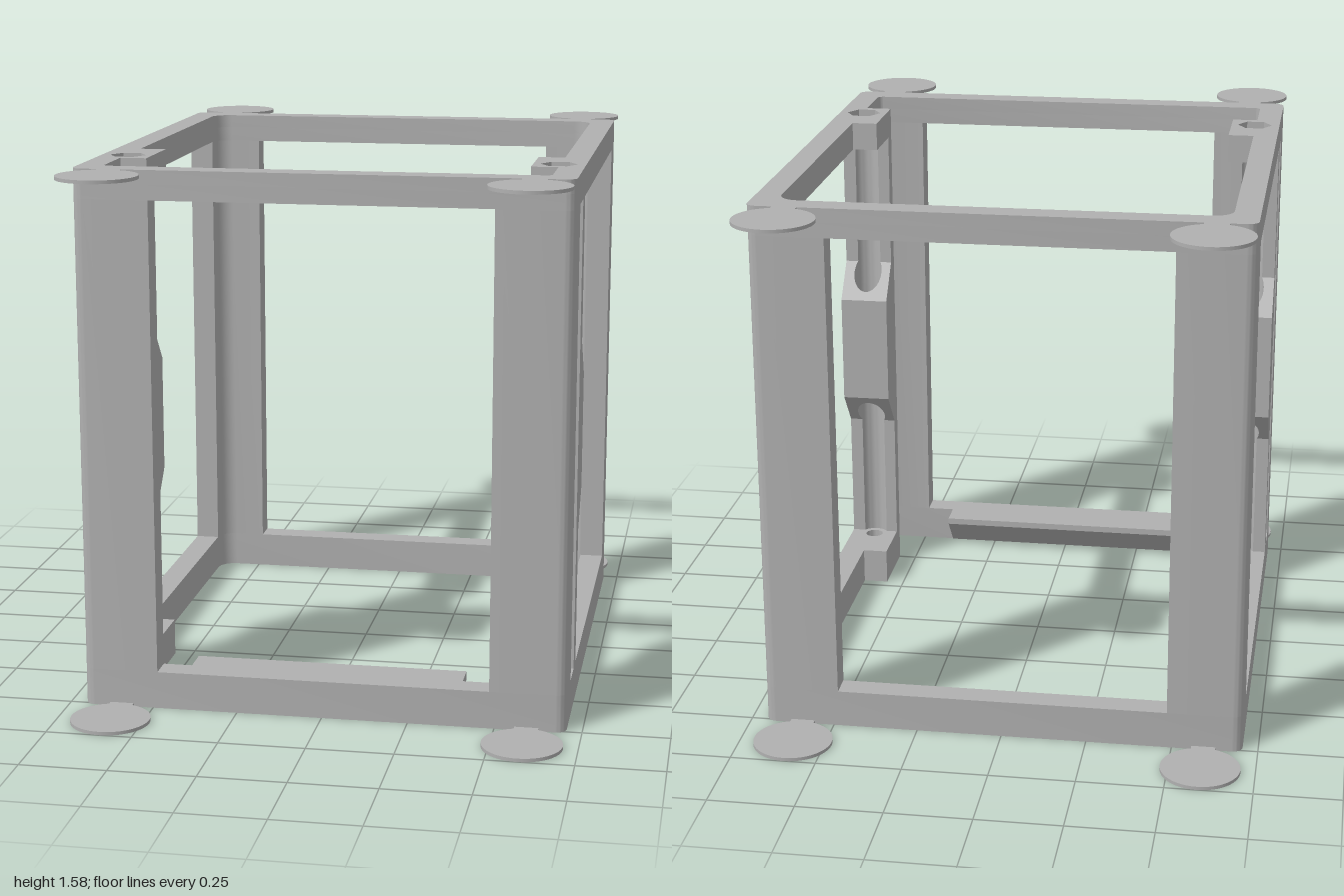
import * as THREE from 'three';
import { toCreasedNormals } from 'three/addons/utils/BufferGeometryUtils.js';

const H = 1.575, LOW = 0.11, HIGH = 1.49;      // overall height, opening bottom and top
const OX = 0.705, OZ = 0.76;                   // outer half sizes
const IX = 0.632, IZ = 0.685;                  // inner half sizes
const BX = 0.555, RX = 0.628, RZ = 0.435;      // rod block inner face, rod centre
const BORE = 0.045;

// Points [x, z] on an arc, angles in quarter turns
function arc(cx, cz, r, q0, q1, n = 8) {
  return Array.from({ length: n + 1 }, (_, i) => {
    const a = (q0 + (q1 - q0) * i / n) * Math.PI / 2;
    return [cx + r * Math.cos(a), cz + r * Math.sin(a)];
  });
}

const flip = (pts, sx) => pts.map(([x, z]) => [x * sx, z]);
const vecs = (pts) => pts.map(([x, z]) => new THREE.Vector2(x, z));

// Upright prism from a plan outline [x, z], with optional holes
function prism(pts, y0, y1, holes = []) {
  const shape = new THREE.Shape(vecs(pts));
  shape.holes = holes.map((h) => new THREE.Path(vecs(h)));
  const geo = new THREE.ExtrudeGeometry(shape, { depth: y1 - y0, bevelEnabled: false });
  return geo.rotateX(Math.PI / 2).translate(0, y1, 0);
}

export function createModel() {
  const model = new THREE.Group();
  model.name = 'frame';
  const grey = new THREE.MeshStandardMaterial({ color: 0xb0b0b0 });
  grey.name = 'grey plastic';

  function add(name, geo) {
    const mesh = new THREE.Mesh(toCreasedNormals(geo, 0.6), grey);
    mesh.name = name;
    model.add(mesh);
    return mesh;
  }

  // Top and bottom rings, with the rod blocks on their inner sides
  const R = 0.03, RF = 0.018, RB = 0.055;
  const outerHalf = [
    ...arc(OX - R, -OZ + R, R, -1, 0),
    ...arc(OX - R, OZ - R, R, 0, 1),
  ];
  const innerHalf = [
    ...arc(IX - RB, -IZ + RB, RB, -1, 0),
    [IX, 0.283], [BX, 0.283], [BX, 0.505], [IX, 0.505],
    ...arc(IX - RF, IZ - RF, RF, 0, 1),
  ];
  const closed = (half) => [...half, ...flip(half, -1).reverse()];
  const ring = (name, y0, y1, r, sides) => {
    const hole = arc(RX, RZ, r, 0, 4, sides).slice(0, sides);
    add(name, prism(closed(outerHalf), y0, y1, [closed(innerHalf), hole, flip(hole, -1)]));
  };
  ring('bottomRing', 0, LOW, 0.028, 24);
  ring('topRing', HIGH, H - 0.04, 0.028, 24);
  ring('topRingNutLayer', H - 0.04, H, 0.053, 6);

  // Wedge under the inner edge of the front sill
  const wedge = new THREE.Shape(vecs([[-0.69, 0], [-0.682, 0], [-0.6, 0.09], [-0.6, LOW], [-0.69, LOW]]));
  add('sillWedge', new THREE.ExtrudeGeometry(wedge, { depth: 0.8, bevelEnabled: false })
    .rotateY(Math.PI / 2).translate(-0.4, 0, 0));

  for (const sx of [1, -1]) {
    const side = sx > 0 ? 'left' : 'right';

    // Corner columns
    for (const sz of [1, -1]) {
      const r = sz > 0 ? RF : RB;
      const pts = [
        [0.485, OZ],
        ...arc(OX - R, OZ - R, R, 1, 0),
        [OX, 0.627], [IX, 0.627],
        ...arc(IX - r, IZ - r, r, 0, 1),
        [0.485, IZ],
      ].map(([x, z]) => [x, z * sz]);
      add(side + (sz > 0 ? 'Front' : 'Back') + 'Column', prism(flip(pts, sx), LOW, HIGH));

      // Thin round pads with necks, at the bottom and top
      for (const y of [0.005, H - 0.005]) {
        const pad = add('cornerPad', new THREE.CylinderGeometry(0.115, 0.115, 0.01, 48));
        pad.position.set(sx * 0.593, y, sz * 0.885);
        const neck = add('padNeck', new THREE.BoxGeometry(0.07, 0.01, 0.06));
        neck.position.set(sx * 0.593, y, sz * 0.775);
      }
    }

    // Side post with a rod groove along its back
    const zPost = 0.46;
    const q = Math.asin((zPost - RZ) / BORE) / (Math.PI / 2);
    const post = [
      [OX, zPost], [OX, 0.525], [IX, 0.525], [IX, 0.505], [BX, 0.505], [BX, zPost],
      ...arc(RX, RZ, BORE, 2 - q, q, 12),
    ];
    add(side + 'RodPost', prism(flip(post, sx), LOW, HIGH));

    // Rod guide: wraps the rod, with both ends cut on a slope
    const guide = [
      [BX, zPost], [BX, 0.37], [OX, 0.37], [OX, zPost],
      ...arc(RX, RZ, BORE, q, -2 - q, 24),
    ];
    const geo = prism(flip(guide, sx), 0.515, 1.07);
    const p = geo.attributes.position;
    for (let i = 0; i < p.count; i++) {
      const cut = (zPost - p.getZ(i)) * 1.2;
      p.setY(i, p.getY(i) + (p.getY(i) > 0.8 ? -cut : cut));
    }
    add(side + 'RodGuide', geo);
  }
  return model;
}
